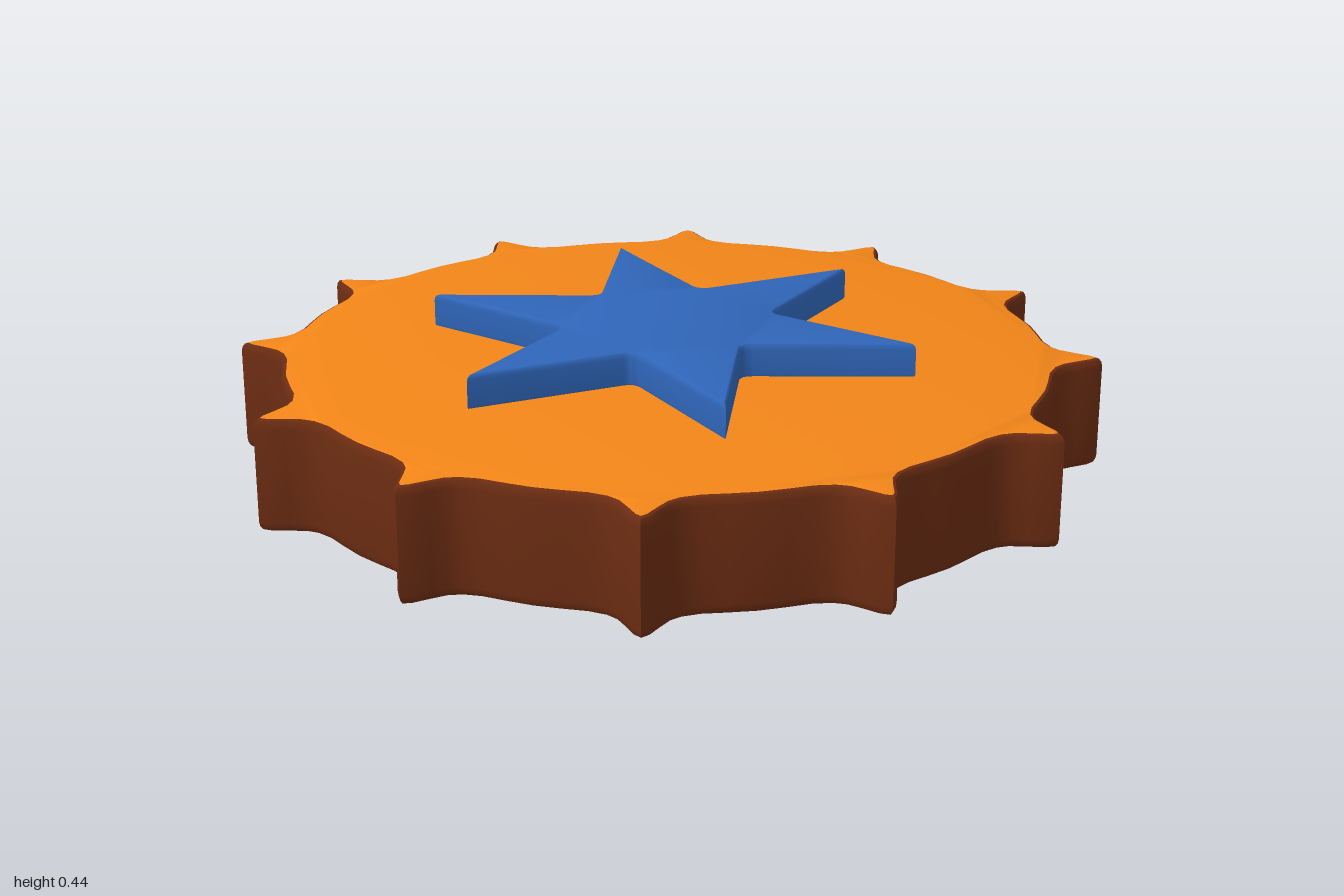
import * as THREE from 'three';
import { toCreasedNormals } from 'three/addons/utils/BufferGeometryUtils.js';

const polar = (r, deg) => {
  const a = THREE.MathUtils.degToRad(deg);
  return new THREE.Vector2(r * Math.cos(a), r * Math.sin(a));
};

const paint = (color) => new THREE.MeshStandardMaterial({ color });

// Flat slab from y0 to y1 with a small rounded edge inside its outline
function slab(name, shape, y0, y1, bevel, thickness, material) {
  const geometry = new THREE.ExtrudeGeometry(shape, {
    depth: y1 - y0 - 2 * thickness,
    bevelSize: bevel,
    bevelOffset: -bevel,
    bevelThickness: thickness,
    bevelSegments: 3,
    curveSegments: 6,
  });
  geometry.rotateX(-Math.PI / 2);
  geometry.translate(0, y0 + thickness, 0);
  const mesh = new THREE.Mesh(toCreasedNormals(geometry, 0.6), material);
  mesh.name = name;
  return mesh;
}

// Twelve pointed teeth joined by shallow hollows
function rimShape() {
  const half = [[0, 1.035], [1.2, 1.015], [2.4, 0.978], [3.6, 0.947], [5, 0.93], [7.5, 0.919], [11, 0.919]];
  const points = [];
  for (let k = 0; k < 12; k++) {
    const tip = 15 + 30 * k;
    for (const [d, r] of half.slice(1).reverse()) points.push(polar(r, tip - d));
    for (const [d, r] of half) points.push(polar(r, tip + d));
    points.push(polar(0.921, tip + 15));
  }
  return new THREE.Shape(points);
}

// Six sharp points with slightly rounded inner corners
function starShape() {
  const shape = new THREE.Shape();
  for (let k = 0; k < 6; k++) {
    const tip = polar(0.605, 60 * k);
    const next = polar(0.605, 60 * k + 60);
    const inner = polar(0.252, 60 * k + 30);
    const a = inner.clone().lerp(tip, 0.07);
    const b = inner.clone().lerp(next, 0.07);
    if (k === 0) shape.moveTo(tip.x, tip.y);
    else shape.lineTo(tip.x, tip.y);
    shape.lineTo(a.x, a.y);
    shape.quadraticCurveTo(inner.x, inner.y, b.x, b.y);
  }
  shape.closePath();
  return shape;
}

function diamondShape() {
  return new THREE.Shape([[0.4, 0], [0, 0.705], [-0.4, 0], [0, -0.705]].map(([x, y]) => new THREE.Vector2(x, y)));
}

export function createModel() {
  const model = new THREE.Group();
  model.name = 'spinningDisc';
  model.add(
    // orange faces, brown toothed wall
    slab('toothedDisc', rimShape(), 0.085, 0.355, 0.012, 0.022, [paint(0xf28518), paint(0x6b2c12)]),
    slab('topStar', starShape(), 0.345, 0.435, 0.01, 0.015, paint(0x2f65b8)),
    slab('bottomDiamond', diamondShape(), 0, 0.095, 0.01, 0.015, paint(0xb8323e)),
  );
  return model;
}
